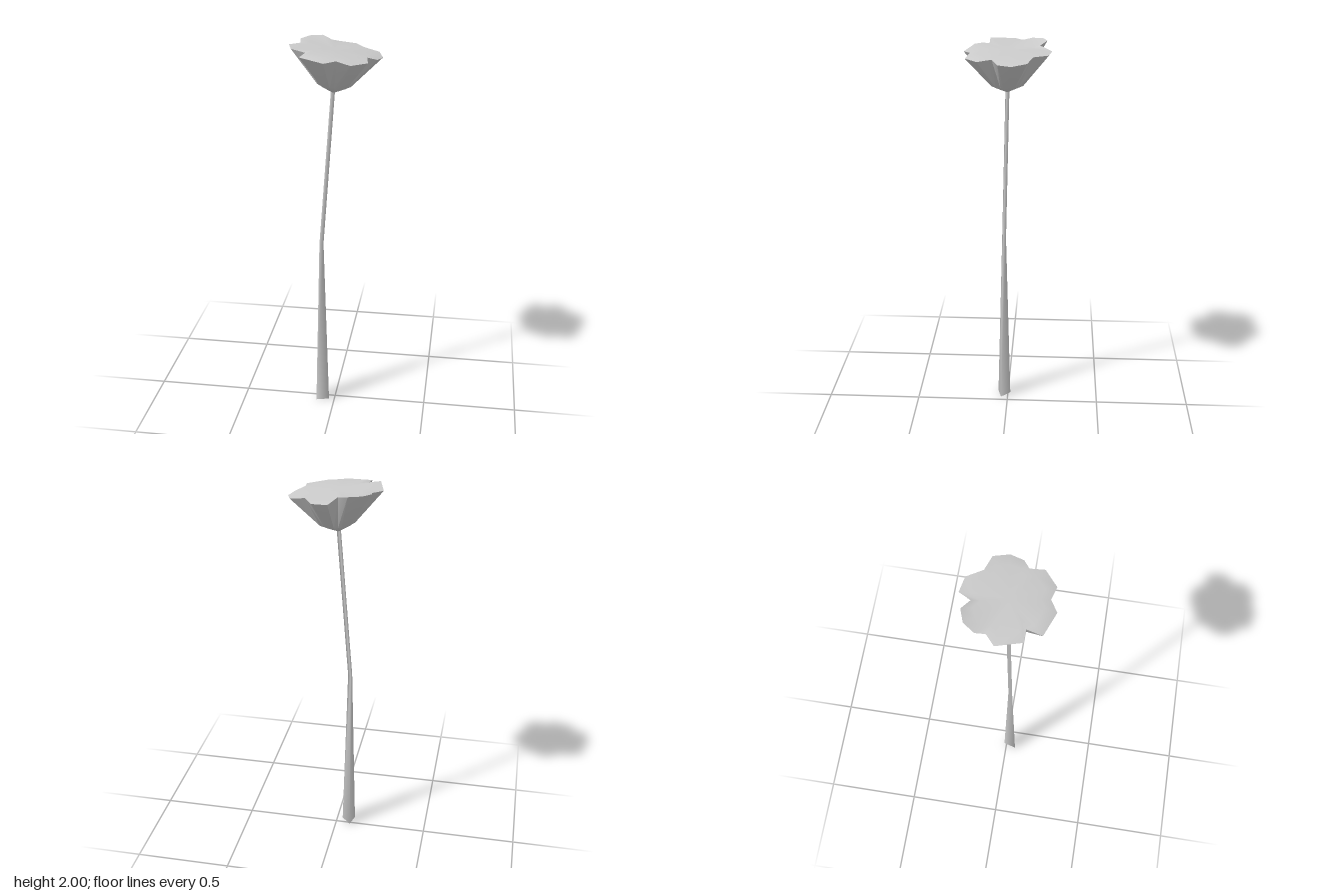
import * as THREE from 'three';
import { toCreasedNormals } from 'three/addons/utils/BufferGeometryUtils.js';

// Joins closed rings of points; optional poles close the first and last ring.
function loft(rings, startPole, endPole) {
  const n = rings[0].length, pos = rings.flat(2), index = [];
  for (let r = 0; r < rings.length - 1; r++) {
    for (let i = 0; i < n; i++) {
      const a = r * n + i, b = r * n + (i + 1) % n;
      index.push(a, a + n, b, b, a + n, b + n);
    }
  }
  if (startPole) {
    const p = pos.push(...startPole) / 3 - 1;
    for (let i = 0; i < n; i++) index.push(p, i, (i + 1) % n);
  }
  if (endPole) {
    const p = pos.push(...endPole) / 3 - 1, o = (rings.length - 1) * n;
    for (let i = 0; i < n; i++) index.push(p, o + (i + 1) % n, o + i);
  }
  const g = new THREE.BufferGeometry();
  g.setAttribute('position', new THREE.Float32BufferAttribute(pos, 3));
  g.setIndex(index);
  g.computeVertexNormals();
  return g;
}

// Scalloped petal rim: x, y, z
const rim = [
  [0, 1.965, -0.22], [0.08, 1.96, -0.205], [0.125, 1.96, -0.13], [0.205, 1.945, -0.105],
  [0.23, 1.935, -0.03], [0.21, 1.938, 0.035], [0.165, 1.955, 0.065], [0.175, 1.945, 0.135],
  [0.1, 1.945, 0.198], [0.03, 1.96, 0.18], [-0.025, 1.955, 0.215], [-0.148, 1.97, 0.17],
  [-0.13, 1.975, 0.095], [-0.2, 1.992, 0.095], [-0.232, 1.985, -0.027], [-0.183, 1.985, -0.07],
  [-0.19, 1.995, -0.118], [-0.153, 2, -0.173], [-0.09, 2, -0.195], [-0.038, 1.985, -0.16],
];

export function createModel() {
  const group = new THREE.Group();
  const material = new THREE.MeshStandardMaterial({ color: 0xcccccc, side: THREE.DoubleSide });
  const add = (name, geometry) => {
    const mesh = new THREE.Mesh(geometry, material);
    mesh.name = name;
    group.add(mesh);
  };

  // Three-sided tapering stem with a bend halfway up
  const stations = [[-0.069, 0, 0.026, 0.041], [-0.07, 0.95, 0.022, 0.0125], [-0.012, 1.765, 0.001, 0.012]];
  const stemRings = stations.map(([x, y, z, r]) => [0, 1, 2].map((k) => {
    const a = Math.PI * (3 / 4 + k * 2 / 3);
    return [x + r * Math.cos(a), y, z + r * Math.sin(a)];
  }));
  add('stem', loft(stemRings));
  add('stemBase', loft([stemRings[0]], [-0.069, 0, 0.026]));

  // Petal cup: rounded bottom flaring straight to the rim
  const cupRing = rim.map(([x, , z]) => {
    const s = 0.085 / Math.hypot(x, z) * 0.6 + 0.4 * 0.4;
    return [x * s - 0.005, 1.802 - 0.1 * x * s, z * s];
  });
  add('petalCup', toCreasedNormals(loft([cupRing, rim], [-0.01, 1.757, 0]), 0.6));

  // Nearly flat, tilted top with gently drooping petal ends
  const inner = rim.map(([x, , z]) => [x * 0.75, 1.972 - 0.1 * x * 0.75, z * 0.75]);
  add('flowerTop', loft([rim, inner], null, [0, 1.972, 0]));

  return group;
}
